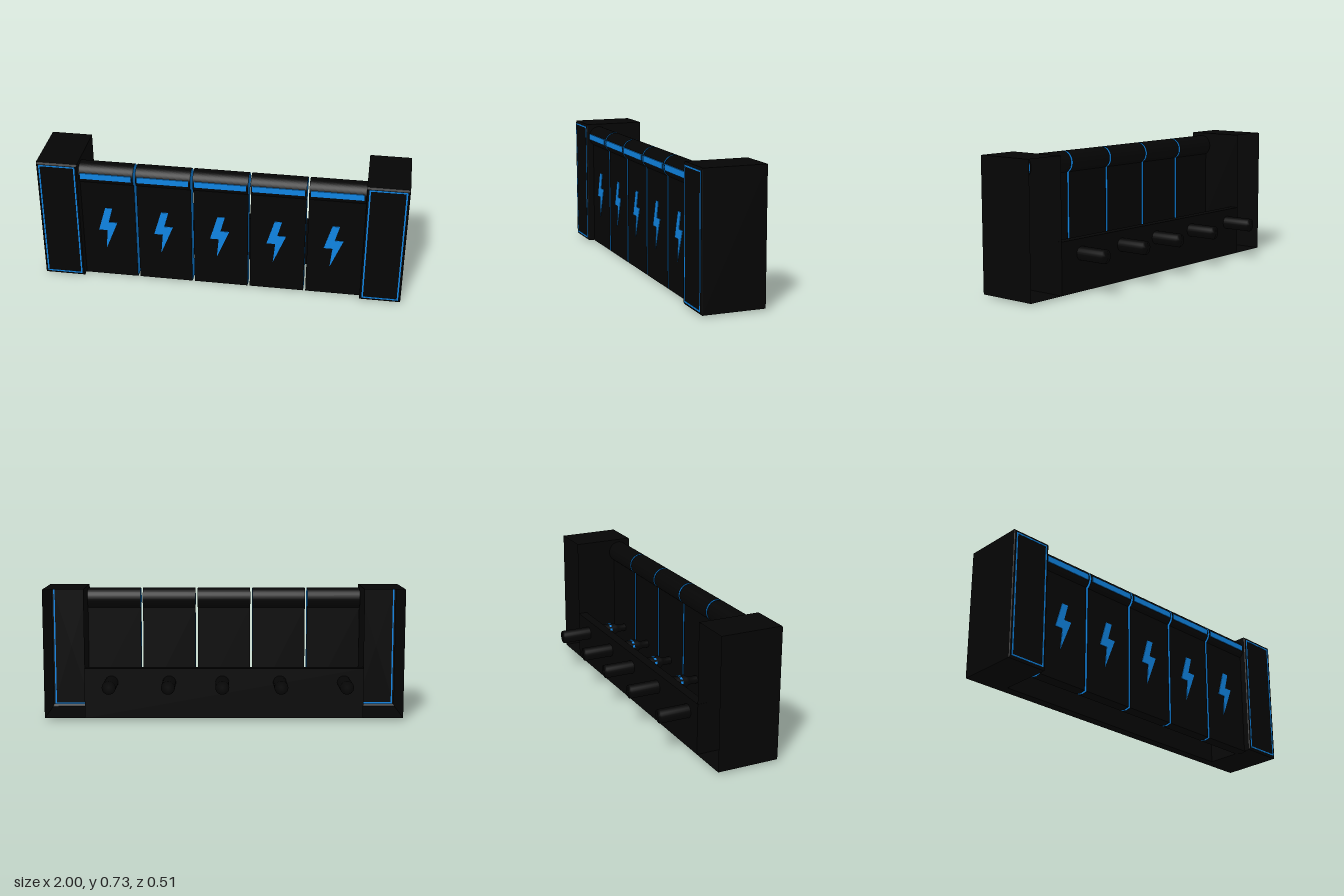
import * as THREE from 'three';

const black = new THREE.MeshStandardMaterial({ color: 0x050505 });
const blackShell = new THREE.MeshStandardMaterial({ color: 0x050505, side: THREE.DoubleSide, flatShading: true });
const blue = new THREE.MeshStandardMaterial({ color: 0x0f86e6 });

function add(parent, name, geometry, material, x = 0, y = 0, z = 0) {
  const mesh = new THREE.Mesh(geometry, material);
  mesh.name = name;
  mesh.position.set(x, y, z);
  parent.add(mesh);
  return mesh;
}

const polygon = (pts) => new THREE.Shape(pts.map(([x, y]) => new THREE.Vector2(x, y)));
const rect = (w, h) => [[-w / 2, -h / 2], [w / 2, -h / 2], [w / 2, h / 2], [-w / 2, h / 2]];
const extrude = (shape, depth) =>
  new THREE.ExtrudeGeometry(shape, { depth, bevelEnabled: false, curveSegments: 32 });

// Square shell, open at the back, with a small chamfer around its front face
function pillarGeometry() {
  const r = Math.SQRT1_2;
  const profile = [[r, -0.09], [r, 0.249], [r * 0.97, 0.255], [0, 0.255]];
  let g = new THREE.LatheGeometry(profile.map(([x, y]) => new THREE.Vector2(x, y)), 4, Math.PI / 4);
  g.rotateX(Math.PI / 2);
  g.scale(0.225, 0.72, 1);
  g = g.toNonIndexed();
  g.computeVertexNormals();
  return g;
}

// Side profile of a panel: slim plate, pointed foot, round head
function panelProfile() {
  const s = polygon([[-0.15, 0.008], [-0.185, 0.002], [-0.215, 0.008]]);
  s.absarc(-0.18, 0.655, 0.06, Math.atan2(-0.0487, -0.035), Math.atan2(-0.052, 0.03), true);
  s.closePath();
  return s;
}

export function createModel() {
  const model = new THREE.Group();
  model.name = 'barrier';

  // End pillars with a thin lit outline on the front
  const pillar = pillarGeometry();
  const outline = polygon(rect(0.2, 0.692));
  outline.holes.push(new THREE.Path(polygon(rect(0.184, 0.676)).getPoints()));
  const outlineGeometry = extrude(outline, 0.002);
  for (const [side, label] of [[1, 'left'], [-1, 'right']]) {
    const group = new THREE.Group();
    group.name = label + 'Pillar';
    group.position.set(side * 0.8875, 0.37, 0);
    add(group, 'pillarShell', pillar, blackShell);
    add(group, 'pillarOutline', outlineGeometry, blue, 0, 0, 0.2545);
    model.add(group);
  }

  // Five panels with blue ends, a light bar and a zigzag emblem
  const profile = panelProfile();
  const bolt = extrude(polygon([
    [-0.018, 0.449], [-0.06, 0.305], [-0.012, 0.305], [-0.023, 0.185],
    [0.046, 0.358], [-0.002, 0.358], [0.022, 0.449],
  ]), 0.004);
  const lightBar = new THREE.BoxGeometry(0.28, 0.034, 0.02);
  for (let i = 0; i < 5; i++) {
    const cx = -0.624 + 0.312 * i;
    const x0 = i === 0 ? -0.773 : cx - 0.1495;
    const x1 = i === 4 ? 0.783 : cx + 0.1495;
    const group = new THREE.Group();
    group.name = 'panel' + (i + 1);
    const body = extrude(profile, x1 - x0).rotateY(Math.PI / 2);
    add(group, 'panelBody', body, [blue, black], x0);
    add(group, 'lightBar', lightBar, blue, cx, 0.657, 0.232);
    add(group, 'zigzagEmblem', bolt, blue, cx, 0, 0.214);
    model.add(group);
  }

  // Low rear beam between the pillars
  add(model, 'rearBeam', new THREE.BoxGeometry(1.552, 0.28, 0.052), black, 0, 0.15, -0.064);

  // Rods through the beam, each with a narrow tip and a ring of small lights
  const rod = new THREE.LatheGeometry(
    [[0, -0.256], [0.0375, -0.256], [0.0375, 0.078], [0.022, 0.098], [0.022, 0.155]]
      .map(([r, z]) => new THREE.Vector2(r, z)), 24).rotateX(Math.PI / 2);
  const dot = new THREE.BoxGeometry(0.014, 0.004, 0.014);
  [-0.666, -0.31, 0.01, 0.305, 0.626].forEach((x, i) => {
    const group = new THREE.Group();
    group.name = 'rod' + (i + 1);
    group.position.set(x, 0.212, 0);
    add(group, 'rodBody', rod, black);
    for (let k = 0; k < 10; k++) {
      const a = (k / 10) * Math.PI * 2;
      const light = add(group, 'rodLight', dot, blue, Math.sin(a) * 0.037, Math.cos(a) * 0.037, 0.046);
      light.rotation.z = -a;
    }
    model.add(group);
  });

  return model;
}
